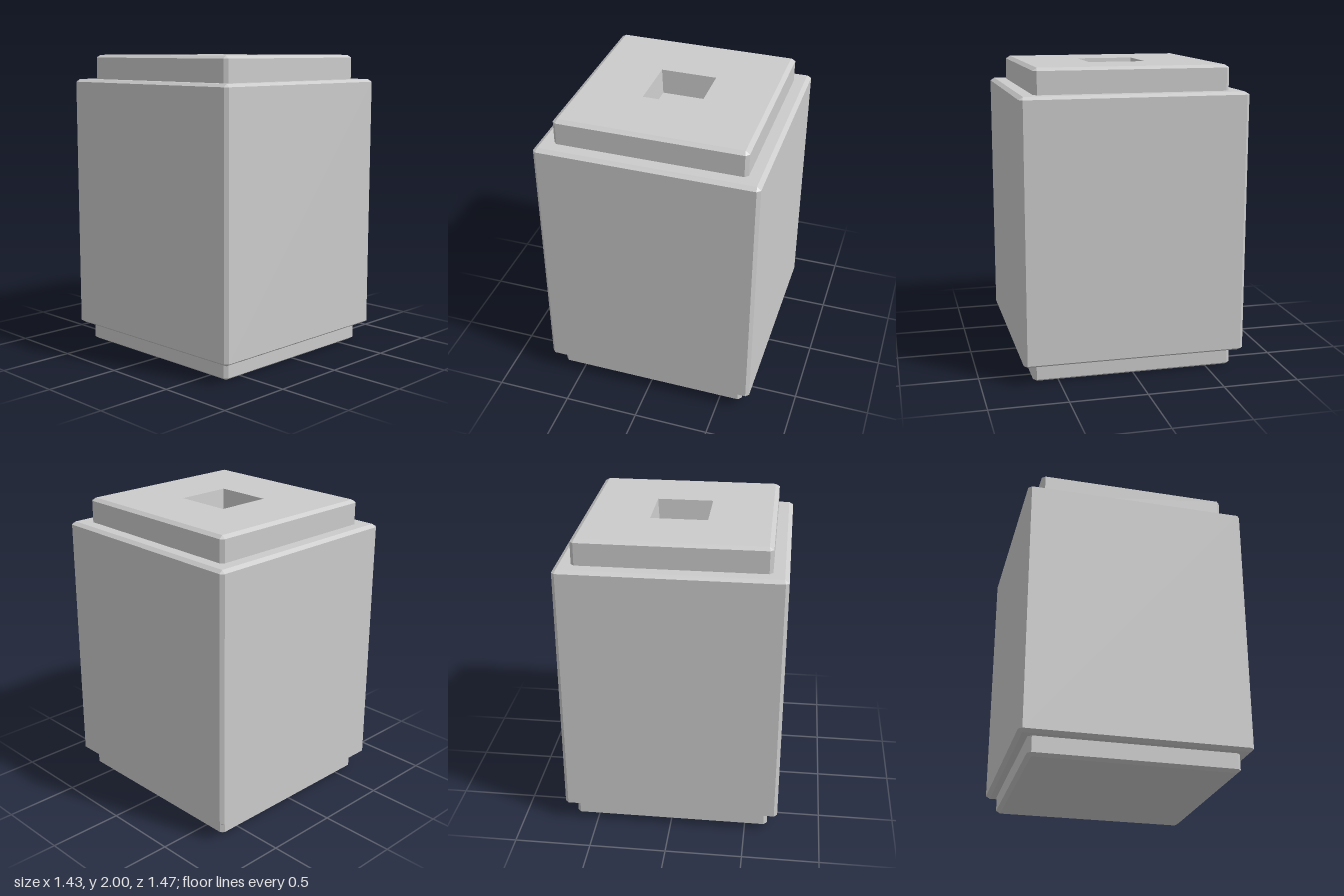
import * as THREE from 'three';

// Rectangle with half sizes hx, hz and corners cut by c, counterclockwise seen from above
function ring([y, hx, hz, c]) {
  return [
    [hx, hz - c], [hx, -hz + c], [hx - c, -hz], [-hx + c, -hz],
    [-hx, -hz + c], [-hx, hz - c], [-hx + c, hz], [hx - c, hz],
  ].map(([x, z]) => new THREE.Vector3(x, y, z));
}

// Skin a stack of rings [y, halfX, halfZ, cornerCut]; optionally fill the first and last
function loft(name, sections, fillStart, fillEnd) {
  const rings = sections.map(ring);
  const pos = [];
  const tri = (a, b, c) => {
    const area = b.clone().sub(a).cross(c.clone().sub(a)).length();
    if (area > 1e-8) for (const p of [a, b, c]) pos.push(p.x, p.y, p.z);
  };
  for (let r = 0; r + 1 < rings.length; r++) {
    const lo = rings[r], hi = rings[r + 1];
    for (let i = 0; i < 8; i++) {
      const j = (i + 1) % 8;
      tri(lo[i], lo[j], hi[j]);
      tri(lo[i], hi[j], hi[i]);
    }
  }
  const first = rings[0], last = rings[rings.length - 1];
  for (let i = 1; i < 7; i++) {
    if (fillStart) tri(first[0], first[i + 1], first[i]);
    if (fillEnd) tri(last[0], last[i], last[i + 1]);
  }
  const geometry = new THREE.BufferGeometry();
  geometry.setAttribute('position', new THREE.Float32BufferAttribute(pos, 3));
  geometry.computeVertexNormals();
  const mesh = new THREE.Mesh(geometry, new THREE.MeshStandardMaterial({ color: 0xcccccc, flatShading: true }));
  mesh.name = name;
  return mesh;
}

export function createModel() {
  const group = new THREE.Group();
  group.name = 'steppedBlock';
  const cut = 0.022; // chamfer of upright edges
  const inset = 0.028, rise = 0.018; // chamfer of level edges

  // Plinth, chamfered along the ground
  group.add(loft('base', [
    [0, 0.65 - inset, 0.665 - inset, 0],
    [rise, 0.65, 0.665, cut],
    [0.13, 0.65, 0.665, cut],
  ], true, false));

  // Main block
  group.add(loft('body', [
    [0.12, 0.717 - inset, 0.733 - inset, 0],
    [0.12 + rise, 0.717, 0.733, cut],
    [1.836 - rise, 0.717, 0.733, cut],
    [1.836, 0.717 - inset, 0.733 - inset, 0],
  ], true, true));

  // Top slab with a tapering square socket that ends on the body
  group.add(loft('cap', [
    [1.83, 0.617, 0.63, cut],
    [2 - rise, 0.617, 0.63, cut],
    [2, 0.617 - inset, 0.63 - inset, 0],
    [2, 0.185, 0.189, 0],
    [1.836, 0.174, 0.178, 0],
  ], false, false));

  return group;
}
